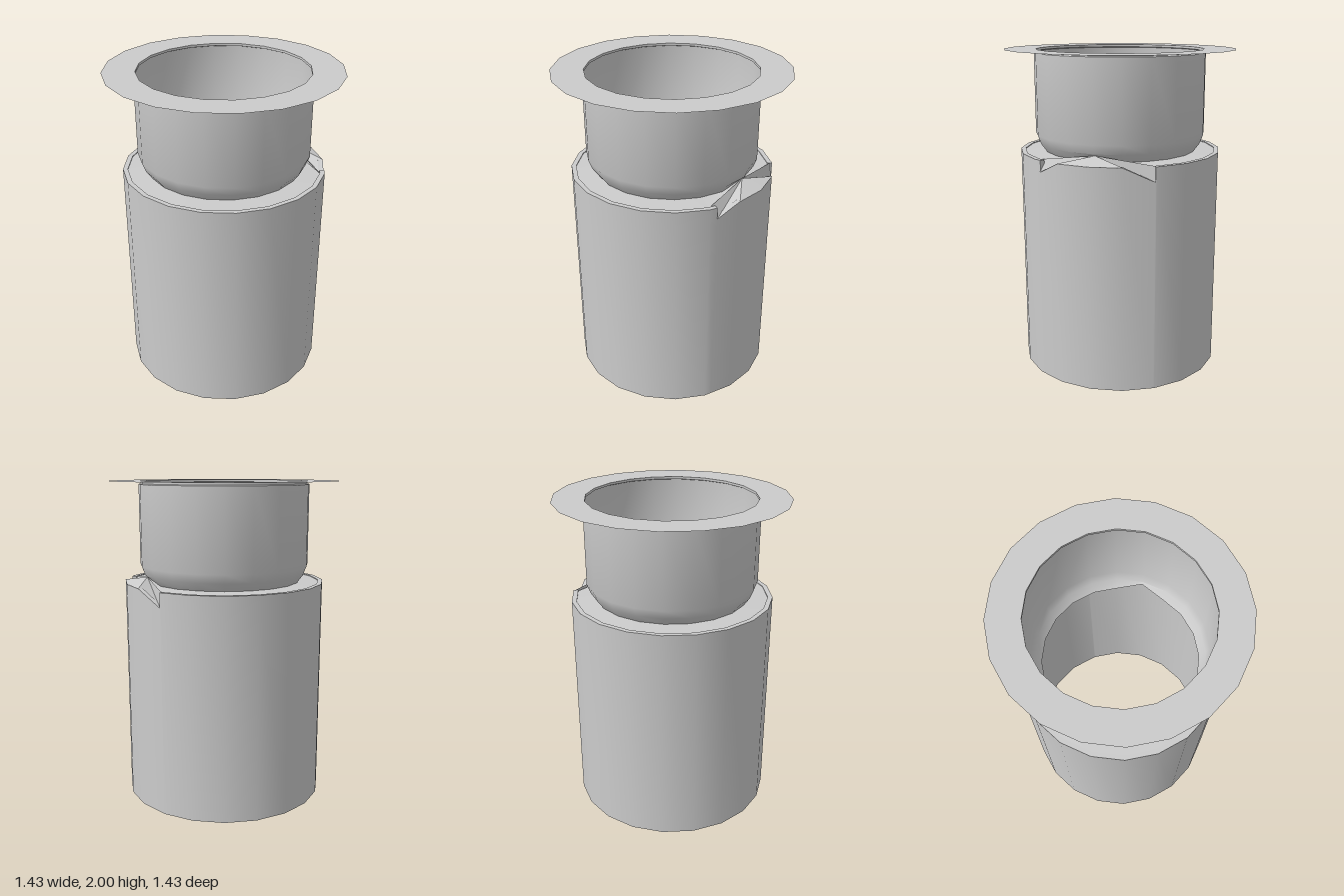
import * as THREE from 'three';
import { toCreasedNormals } from 'three/addons/utils/BufferGeometryUtils.js';

const SIDES = 20;
const material = new THREE.MeshStandardMaterial({ color: 0xcccccc, side: THREE.DoubleSide });
const rad = THREE.MathUtils.degToRad;

function part(name, geometry, crease = 0.5) {
  const mesh = new THREE.Mesh(toCreasedNormals(geometry, crease), material);
  mesh.name = name;
  return mesh;
}

const lathe = (points) => new THREE.LatheGeometry(points.map(([r, y]) => new THREE.Vector2(r, y)), SIDES);

// Point on a 20-sided ring; the angle runs from +x towards +z
function ringPoint(radius, degrees, y) {
  const within = (((degrees % 18) + 18) % 18) - 9;
  const r = radius * Math.cos(rad(9)) / Math.cos(rad(within));
  return [r * Math.cos(rad(degrees)), y, r * Math.sin(rad(degrees))];
}

// Thick tube whose rim is torn open on the +x side
function tubeGeometry() {
  const top = 1.38;
  const stations = [];
  for (let a = -180; a <= 180; a += 18) stations.push([a, top]);
  stations.push([-35.6, top], [-35.4, 1.29], [31.6, 1.31], [31.8, top]);
  stations.sort((a, b) => a[0] - b[0]);
  const sections = stations.map(([a, y]) => [
    ringPoint(0.63, a, 0), ringPoint(0.63, a, y), ringPoint(0.6, a, y), ringPoint(0.6, a, 0),
  ]);
  const position = [];
  for (let i = 0; i < sections.length - 1; i++) {
    const p = sections[i], q = sections[i + 1];
    for (let j = 0; j < 4; j++) {
      const k = (j + 1) % 4;
      position.push(...p[j], ...p[k], ...q[k], ...p[j], ...q[k], ...q[j]);
    }
  }
  const geometry = new THREE.BufferGeometry();
  geometry.setAttribute('position', new THREE.Float32BufferAttribute(position, 3));
  return geometry;
}

// Lift the lower neck edge into a small nick on the +x side
function nick(geometry) {
  const p = geometry.attributes.position;
  for (let i = 0; i < p.count; i++) {
    if (p.getY(i) < 1.39 && Math.abs(p.getZ(i)) < 0.01 && p.getX(i) > 0.4 && p.getX(i) < 0.5) {
      p.setXYZ(i, 0.5, 1.42, 0);
    }
  }
  return geometry;
}

// Flat shoulder, trimmed where the torn strip begins
function shoulderGeometry() {
  const geometry = lathe([[0.605, 1.375], [0.475, 1.38]]);
  const p = geometry.attributes.position;
  for (let i = 0; i < p.count; i++) p.setX(i, Math.min(p.getX(i), 0.495));
  return nick(geometry);
}

// Sloping strip between the nick and the torn rim
function stripGeometry() {
  const outline = [
    [0.49, 1.38, 0.33], [0.535, 1.31, 0.33], [0.6, 1.382, 0.195], [0.63, 1.382, 0],
    [0.6, 1.382, -0.195], [0.51, 1.29, -0.36], [0.5, 1.38, -0.37],
  ];
  const position = [];
  for (let i = 0; i < outline.length - 1; i++) {
    position.push(0.5, 1.42, 0, ...outline[i], ...outline[i + 1]);
  }
  const geometry = new THREE.BufferGeometry();
  geometry.setAttribute('position', new THREE.Float32BufferAttribute(position, 3));
  return geometry;
}

export function createModel() {
  const group = new THREE.Group();
  group.name = 'flangedTube';
  group.add(
    part('outerTube', tubeGeometry()),
    part('shoulder', shoulderGeometry()),
    part('tornStrip', stripGeometry(), 0.3),
    // Neck with a tapered foot
    part('neck', nick(lathe([[0.475, 1.38], [0.512, 1.43], [0.533, 1.485], [0.533, 1.98], [0.52, 1.985], [0.52, 2]]))),
    // Thin collar round the mouth
    part('flange', lathe([[0.717, 2], [0.52, 2]])),
  );
  return group;
}
